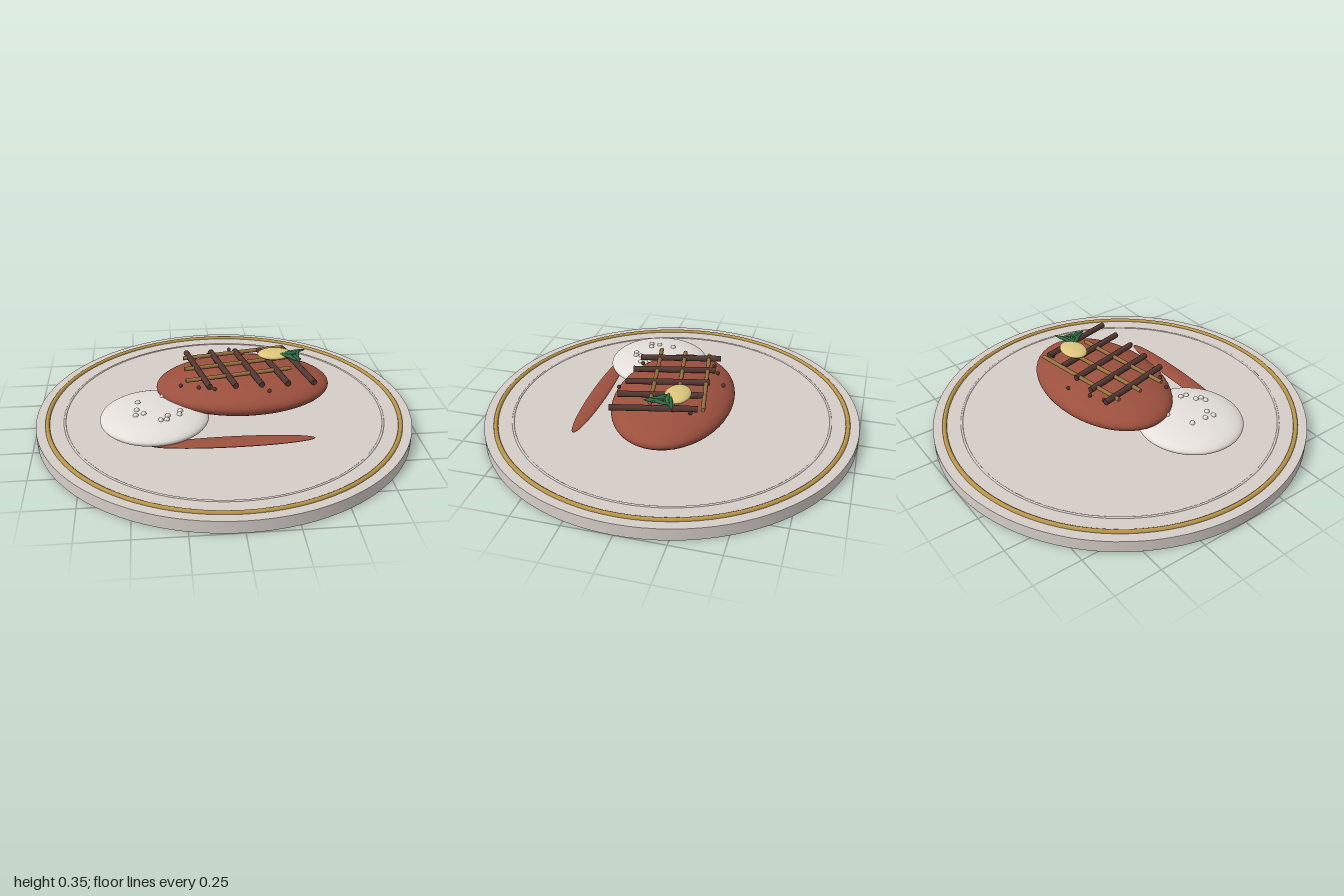
import * as THREE from 'three';

const mat = (name, color) => {
  const m = new THREE.MeshStandardMaterial({ color });
  m.name = name;
  return m;
};

export function createModel() {
  const root = new THREE.Group();
  root.name = 'steakDinner';

  const china = mat('china', 0xd6cec8);
  const gold = mat('gold', 0xb8954a);
  const meat = mat('meat', 0x9c503e);
  const mash = mat('mash', 0xe4dfda);
  const char = mat('char', 0x533732);
  const brown = mat('lightSear', 0x96703f);
  const butterMat = mat('butter', 0xdcc57c);
  const green = mat('herb', 0x2f6640);

  const add = (name, geo, material, x, y, z) => {
    const mesh = new THREE.Mesh(geo, material);
    mesh.name = name;
    mesh.position.set(x, y, z);
    root.add(mesh);
    return mesh;
  };
  const ellipsoid = (name, material, [x, y, z], [rx, ry, rz]) =>
    add(name, new THREE.SphereGeometry(1, 48, 32).scale(rx, ry, rz), material, x, y, z);
  const ring = (name, material, radius, tube, y) =>
    add(name, new THREE.TorusGeometry(radius, tube, 10, 96).rotateX(Math.PI / 2), material, 0, y, 0);
  // Height of an ellipsoid's upper surface at a point
  const surfaceY = ([cx, cy, cz], [rx, ry, rz], x, z) =>
    cy + ry * Math.sqrt(Math.max(0, 1 - ((x - cx) / rx) ** 2 - ((z - cz) / rz) ** 2));

  // Plate with raised rings
  add('plate', new THREE.CylinderGeometry(1, 1, 0.065, 96), china, 0, 0.0325, 0);
  ring('goldRim', gold, 0.94, 0.012, 0.066);
  ring('innerRim', china, 0.85, 0.006, 0.064);

  // Food
  const steakC = [0.105, 0.195, -0.04], steakR = [0.464, 0.1, 0.31];
  const mashC = [-0.375, 0.135, 0.175], mashR = [0.28, 0.06, 0.275];
  ellipsoid('steak', meat, steakC, steakR);
  ellipsoid('mashedPotato', mash, mashC, mashR);
  ellipsoid('sauceStreak', meat, [0.01, 0.104, 0.408], [0.41, 0.014, 0.048]);

  // Crossed sear bars lying on the steak
  const bar = (name, material, radius, length, x, y, z, yaw) => {
    const geo = new THREE.CylinderGeometry(radius, radius, length, 10).rotateZ(Math.PI / 2);
    add(name, geo, material, x, y, z).rotation.y = yaw;
  };
  for (let i = 0; i < 5; i++) {
    bar('searBar', char, 0.016, 0.433, -0.139 + 0.134 * i, 0.304, -0.013, -1.347);
  }
  for (let i = 0; i < 3; i++) {
    bar('crossSearBar', brown, 0.011, 0.57, 0.073, 0.304, -0.203 + 0.134 * i, 0.17);
  }

  // Peppercorns
  const pepper = [[0.055, -0.29], [-0.065, -0.235], [-0.14, -0.2], [-0.235, 0.125],
    [-0.145, 0.155], [-0.065, 0.18], [0.21, 0.225], [0.36, -0.19]];
  for (const [x, z] of pepper) {
    add('peppercorn', new THREE.SphereGeometry(0.011, 10, 8), char, x, 0.283, z);
  }

  // Beads on the mash
  const beads = [[-0.46, 0.118], [-0.47, 0.25], [-0.465, 0.2], [-0.43, 0.24], [-0.245, 0.22],
    [-0.25, 0.252], [-0.31, 0.268], [-0.315, 0.3], [-0.345, 0.305], [-0.33, 0.06]];
  for (const [x, z] of beads) {
    add('mashBead', new THREE.SphereGeometry(0.014, 12, 8), mash, x, surfaceY(mashC, mashR, x, z), z);
  }

  // Butter pat
  ellipsoid('butter', butterMat, [0.283, 0.333, -0.107], [0.09, 0.022, 0.066]);

  // Herb sprig: stem and pointed leaves as [x, z, heading, length]
  bar('herbStem', green, 0.006, 0.14, 0.365, 0.343, -0.06, -0.9);
  const leaves = [[0.39, -0.1, 0.3, 0.13], [0.35, -0.075, 0.15, 0.11], [0.38, -0.08, 0.45, 0.1],
    [0.345, -0.045, -0.85, 0.1], [0.365, -0.03, -1.2, 0.11], [0.39, -0.015, -1.4, 0.1],
    [0.4, -0.055, -1.75, 0.09]];
  for (const [x, z, yaw, length] of leaves) {
    const geo = new THREE.SphereGeometry(1, 12, 8).scale(length / 2, 0.008, 0.011);
    add('herbLeaf', geo, green, x, 0.345, z).rotation.y = yaw;
  }

  return root;
}
